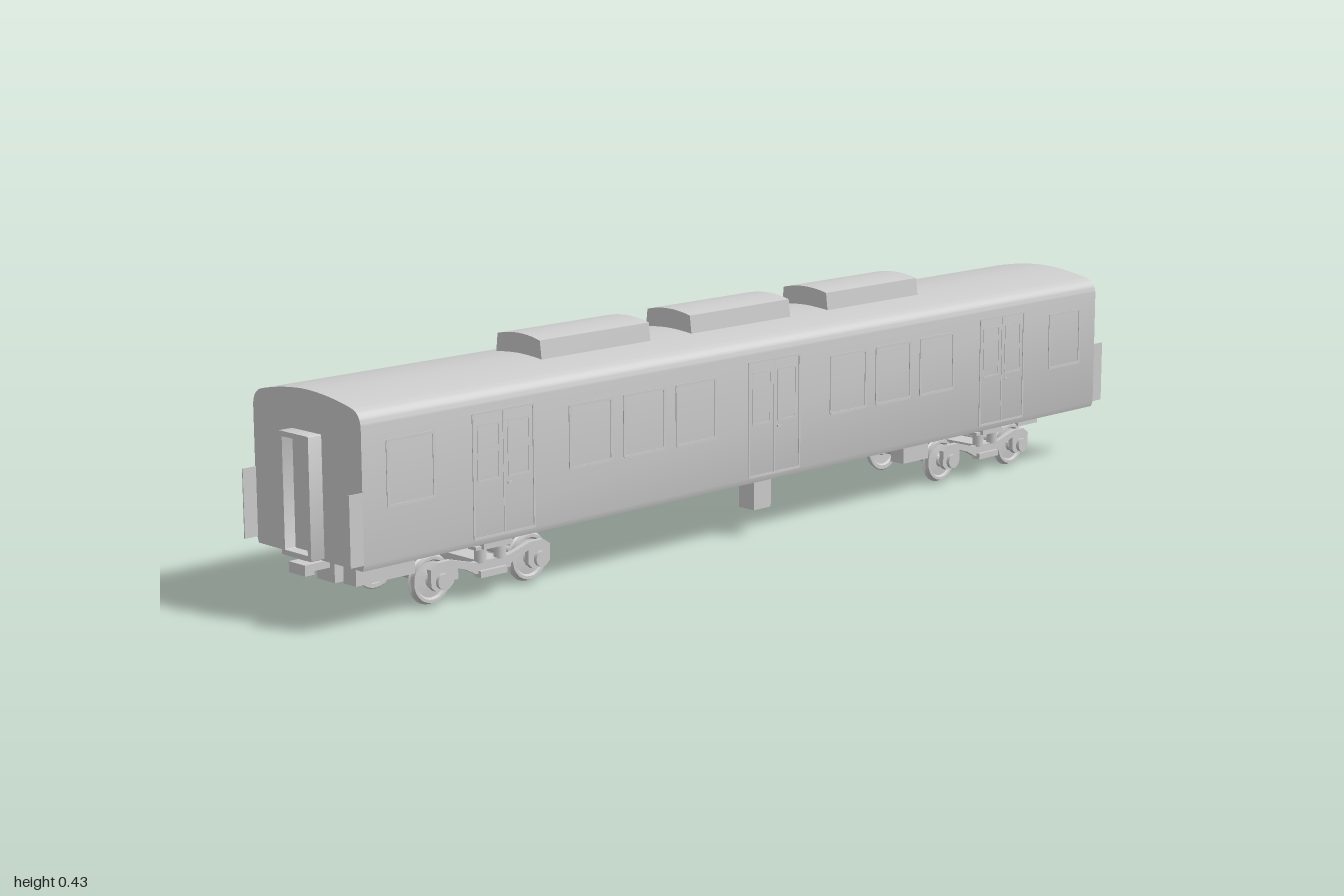
import * as THREE from 'three';
import { toCreasedNormals } from 'three/addons/utils/BufferGeometryUtils.js';

const mat = new THREE.MeshStandardMaterial({ color: 0xcccccc });

function add(parent, name, geometry, x = 0, y = 0, z = 0) {
  const m = new THREE.Mesh(geometry, mat);
  m.name = name;
  m.position.set(x, y, z);
  parent.add(m);
  return m;
}

// Box given by its limits on each axis
function box(parent, name, [x0, x1], [y0, y1], [z0, z1]) {
  return add(parent, name, new THREE.BoxGeometry(x1 - x0, y1 - y0, z1 - z0),
    (x0 + x1) / 2, (y0 + y1) / 2, (z0 + z1) / 2);
}

function extrude(shape, depth, crease = 0.5) {
  const g = new THREE.ExtrudeGeometry(shape, { depth, bevelEnabled: false, curveSegments: 10 });
  g.translate(0, 0, -depth / 2);
  return toCreasedNormals(g, crease);
}

function rect(Type, w, h, r) {
  const s = new Type();
  s.moveTo(-w + r, -h);
  s.lineTo(w - r, -h); s.quadraticCurveTo(w, -h, w, -h + r);
  s.lineTo(w, h - r); s.quadraticCurveTo(w, h, w - r, h);
  s.lineTo(-w + r, h); s.quadraticCurveTo(-w, h, -w, h - r);
  s.lineTo(-w, -h + r); s.quadraticCurveTo(-w, -h, -w + r, -h);
  return s;
}

// Rounded frame with an open middle; w and h are half sizes
function frame(w, h, t, depth, r = 0.006) {
  const s = rect(THREE.Shape, w, h, r);
  s.holes.push(rect(THREE.Path, w - t, h - t, r * 0.7));
  return extrude(s, depth);
}

// Car body: straight sides, rounded shoulders, shallow roof arc
function addBody(car) {
  const s = new THREE.Shape();
  s.moveTo(-0.141, 0.105);
  s.lineTo(0.141, 0.105);
  s.lineTo(0.145, 0.116);
  s.lineTo(0.145, 0.343);
  s.bezierCurveTo(0.145, 0.36, 0.137, 0.372, 0.12, 0.376);
  s.quadraticCurveTo(0.06, 0.39, 0, 0.391);
  s.quadraticCurveTo(-0.06, 0.39, -0.12, 0.376);
  s.bezierCurveTo(-0.137, 0.372, -0.145, 0.36, -0.145, 0.343);
  s.lineTo(-0.145, 0.116);
  add(car, 'body', extrude(s, 1.945));
}

function addRoofUnits(car) {
  const s = new THREE.Shape();
  s.moveTo(-0.061, 0.38);
  s.lineTo(0.061, 0.38);
  s.lineTo(0.056, 0.42);
  s.quadraticCurveTo(0, 0.434, -0.056, 0.42);
  const g = extrude(s, 0.265);
  for (const z of [-0.37, 0, 0.37]) add(car, 'roofUnit', g, 0, 0, z);
}

// Windows and doors of one side
function addSide(car, side) {
  const wall = new THREE.Group();
  wall.name = side > 0 ? 'leftWall' : 'rightWall';
  wall.rotation.y = side * Math.PI / 2;
  wall.position.x = side * 0.145;
  car.add(wall);
  const windowFrame = frame(0.052, 0.058, 0.005, 0.003);
  for (const u of [-0.87, -0.465, -0.335, -0.205, 0.205, 0.335, 0.465, 0.87])
    add(wall, 'windowFrame', windowFrame, u, 0.262, 0);
  const doorFrame = frame(0.07, 0.11, 0.004, 0.003, 0.004);
  const doorWindow = frame(0.025, 0.05, 0.003, 0.002, 0.004);
  for (const u of [-0.667, 0, 0.667]) {
    add(wall, 'doorFrame', doorFrame, u, 0.226, 0);
    box(wall, 'doorSeam', [u - 0.0015, u + 0.0015], [0.12, 0.332], [-0.001, 0.001]);
    for (const d of [-1, 1]) add(wall, 'doorWindow', doorWindow, u + d * 0.034, 0.265, 0);
    box(wall, 'doorHandle', [u + 0.008, u + 0.016], [0.203, 0.207], [-0.001, 0.002]);
  }
}

// Gangway, corner plates, coupler and equipment at one end, built facing +z
function addEnd(car, dir) {
  const end = new THREE.Group();
  end.name = dir > 0 ? 'frontEnd' : 'backEnd';
  end.rotation.y = dir > 0 ? 0 : Math.PI;
  car.add(end);
  add(end, 'gangwayFrame', frame(0.04, 0.106, 0.009, 0.032, 0.002), 0, 0.214, 0.984);
  box(end, 'gangwayDoor', [-0.032, 0.032], [0.115, 0.312], [0.965, 0.978]);
  for (const s of [-1, 1])
    box(end, 'cornerPlate', [s * 0.144 - 0.001, s * 0.144 + 0.001], [0.116, 0.238], [0.94, 1]);
  box(end, 'couplerPocket', [-0.024, 0.024], [0.058, 0.106], [0.875, 0.94]);
  box(end, 'couplerShank', [-0.012, 0.012], [0.083, 0.096], [0.93, 0.985]);
  box(end, 'couplerHead', [-0.022, 0.022], [0.08, 0.099], [0.98, 1]);
  box(end, 'endBox', [0.08, 0.113], [0.073, 0.106], [0.84, 0.965]);
}

function wheelGeometry() {
  const p = [[0, 0], [0.012, 0], [0.014, 0.004], [0.032, 0.003], [0.035, -0.001], [0.043, -0.001],
    [0.045, 0.001], [0.042, 0.004], [0.0405, 0.012], [0.035, 0.012], [0.032, 0.007], [0.014, 0.009],
    [0.011, 0.013], [0, 0.013]].map(([r, a]) => new THREE.Vector2(r, a));
  const g = new THREE.LatheGeometry(p, 28);
  g.rotateZ(-Math.PI / 2);
  return toCreasedNormals(g, 0.5);
}

// Side frame of a bogie, drawn in the z-y plane
function sideFrameGeometry() {
  const s = new THREE.Shape();
  const half = [[0, 0.045], [0.035, 0.045], [0.06, 0.058], [0.085, 0.066], [0.085, 0.04], [0.095, 0.031],
    [0.125, 0.031], [0.135, 0.04], [0.135, 0.07], [0.12, 0.08], [0.09, 0.08], [0.04, 0.066], [0, 0.066]];
  s.setFromPoints([...half, ...half.slice(1, -1).reverse().map(([z, y]) => [-z, y])]
    .map(([z, y]) => new THREE.Vector2(z, y)));
  const g = extrude(s, 0.01, 0.3);
  g.rotateY(Math.PI / 2);
  return g;
}

function addBogie(car, z, name) {
  const bogie = new THREE.Group();
  bogie.name = name;
  bogie.position.z = z;
  car.add(bogie);
  const wheel = wheelGeometry(), side = sideFrameGeometry();
  const axle = new THREE.CylinderGeometry(0.009, 0.009, 0.22, 14).rotateZ(Math.PI / 2);
  const hub = new THREE.CylinderGeometry(0.014, 0.014, 0.008, 14).rotateZ(Math.PI / 2);
  const spring = new THREE.CylinderGeometry(0.011, 0.011, 0.03, 12);
  // Wheelsets
  for (const az of [-0.111, 0.111]) {
    add(bogie, 'axle', axle, 0, 0.045, az);
    for (const s of [-1, 1]) {
      const w = add(bogie, 'wheel', wheel, s * 0.072, 0.045, az);
      if (s < 0) w.rotation.y = Math.PI;
      add(bogie, 'axleBox', hub, s * 0.112, 0.047, az);
    }
  }
  // Side frames with springs and brackets
  for (const s of [-1, 1]) {
    add(bogie, 'sideFrame', side, s * 0.104, 0, 0);
    for (const d of [-0.022, 0.022]) add(bogie, 'spring', spring, s * 0.105, 0.079, d);
    box(bogie, 'springPlate', [s * 0.107 - 0.011, s * 0.107 + 0.011], [0.089, 0.095], [-0.042, 0.042]);
    box(bogie, 'springSeat', [s * 0.107 - 0.009, s * 0.107 + 0.009], [0.038, 0.05], [-0.03, 0.03]);
    for (const d of [-1, 1])
      box(bogie, 'brakeBlock', [s * 0.079 - 0.006, s * 0.079 + 0.006], [0.036, 0.06], [d * 0.06 - 0.005, d * 0.06 + 0.005]);
  }
  box(bogie, 'bolster', [-0.125, 0.125], [0.09, 0.106], [-0.03, 0.03]);
  box(bogie, 'crossBeam', [-0.104, 0.104], [0.047, 0.066], [-0.025, 0.025]);
  add(bogie, 'pivot', new THREE.CylinderGeometry(0.022, 0.022, 0.03, 20), 0, 0.078, 0);
}

// Equipment under the floor
function addUnderfloor(car) {
  box(car, 'largeEquipmentBox', [-0.137, -0.095], [0.042, 0.106], [0.14, 0.225]);
  box(car, 'smallEquipmentBox', [0.098, 0.137], [0.051, 0.106], [0, 0.045]);
  box(car, 'rearEquipmentBox', [0.08, 0.113], [0.065, 0.106], [-0.48, -0.405]);
}

export function createModel() {
  const car = new THREE.Group();
  car.name = 'railCar';
  addBody(car);
  addRoofUnits(car);
  for (const s of [1, -1]) {
    addSide(car, s);
    addEnd(car, s);
    addBogie(car, s * 0.667, s > 0 ? 'frontBogie' : 'backBogie');
  }
  addUnderfloor(car);
  return car;
}
